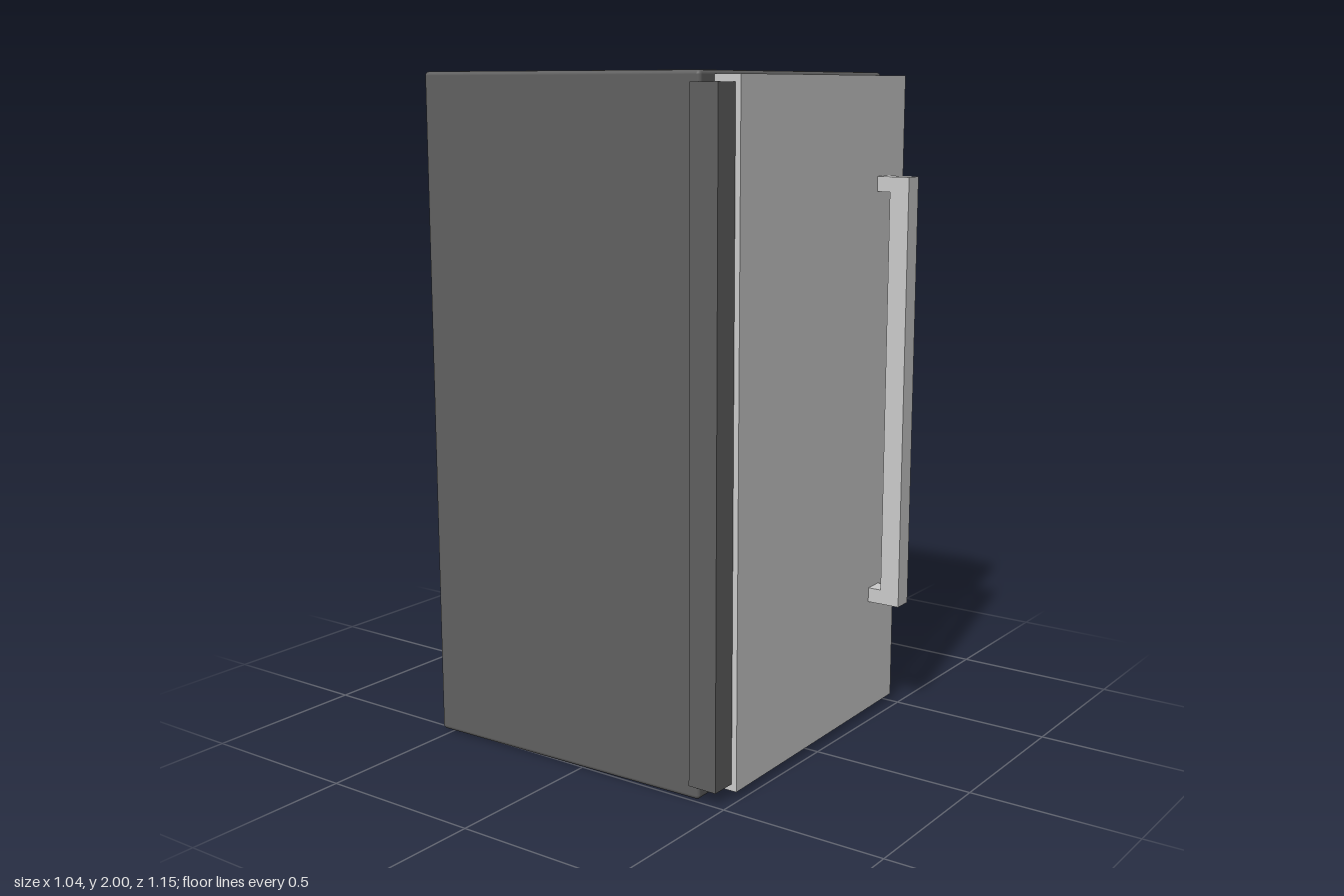
import * as THREE from 'three';
import { RoundedBoxGeometry } from 'three/addons/geometries/RoundedBoxGeometry.js';

const dark = new THREE.MeshStandardMaterial({ color: 0x606060 });
const grey = new THREE.MeshStandardMaterial({ color: 0xcccccc });

function addMesh(parent, name, geometry, material, x, y, z) {
  const mesh = new THREE.Mesh(geometry, material);
  mesh.name = name;
  mesh.position.set(x, y, z);
  parent.add(mesh);
  return mesh;
}

export function createModel() {
  const model = new THREE.Group();
  model.name = 'cabinet';

  // Cabinet body with softened edges, turned slightly about the vertical
  const body = addMesh(model, 'body', new RoundedBoxGeometry(1.012, 2, 0.952, 2, 0.012), dark, 0, 1, -0.082);
  body.rotation.y = 0.03;

  // Narrow hinge post beside the door
  addMesh(model, 'hingePost', new THREE.BoxGeometry(0.082, 1.93, 0.09), dark, -0.459, 1.005, 0.427);

  // Door group: origin at the middle of the door's front face
  const door = new THREE.Group();
  door.name = 'door';
  door.position.set(0.044, 0, 0.478);
  door.rotation.y = 0.022;
  model.add(door);
  addMesh(door, 'doorPanel', new THREE.BoxGeometry(0.928, 1.97, 0.088), grey, 0, 1.005, -0.044);

  // Pull handle: a long bar on two short mounts
  const handle = new THREE.Group();
  handle.name = 'handle';
  handle.position.set(0.329, 1.035, 0);
  door.add(handle);
  addMesh(handle, 'handleBar', new THREE.BoxGeometry(0.062, 1.32, 0.062), grey, 0, 0, 0.073);
  for (const side of [-1, 1]) {
    addMesh(handle, 'handleMount', new THREE.BoxGeometry(0.062, 0.045, 0.05), grey, 0, side * 0.6375, 0.018);
  }

  return model;
}
